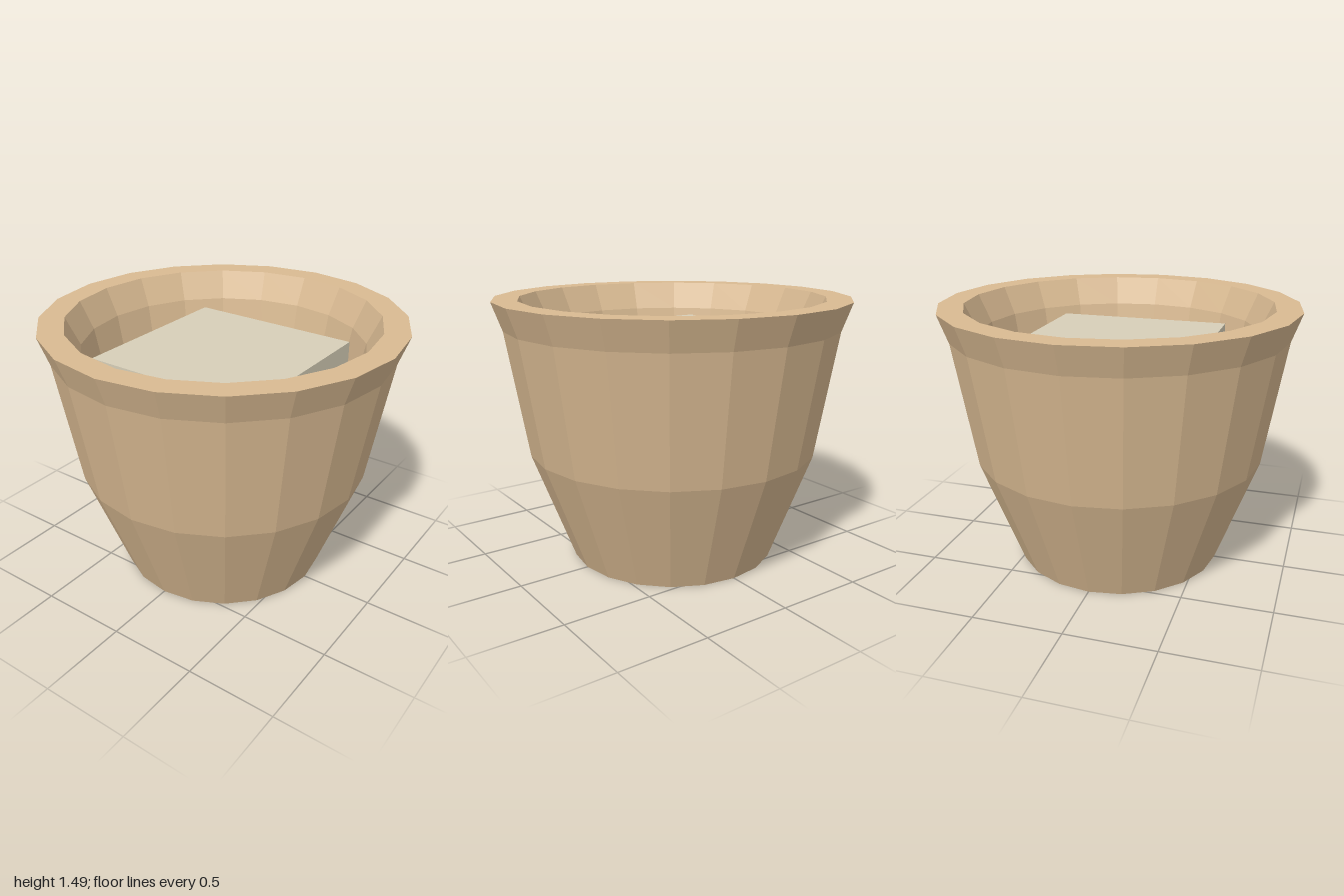
import * as THREE from 'three';

export function createModel() {
  const model = new THREE.Group();
  model.name = 'plantPot';

  const clay = new THREE.MeshStandardMaterial({ color: 0xd9ba92, flatShading: true });
  clay.name = 'clay';
  const stone = new THREE.MeshStandardMaterial({ color: 0xd7cfb8, flatShading: true });
  stone.name = 'paleStone';

  // Pot: one closed profile, up the outside, over the rim and down the inside
  const profile = [
    [0, 0], [0.59, 0], [0.825, 0.63], [0.943, 1.335], [1, 1.493],
    [0.86, 1.493], [0.785, 1.335], [0.55, 0.1], [0, 0.1],
  ].map(([r, y]) => new THREE.Vector2(r, y));
  const pot = new THREE.Mesh(new THREE.LatheGeometry(profile, 20), clay);
  pot.name = 'pot';
  model.add(pot);

  // Square block set inside the pot, its top just below the rim
  const top = 1.3, bottom = 0.45;
  const block = new THREE.Mesh(new THREE.BoxGeometry(1.02, top - bottom, 1.02), stone);
  block.name = 'innerBlock';
  block.position.y = (top + bottom) / 2;
  model.add(block);

  return model;
}
